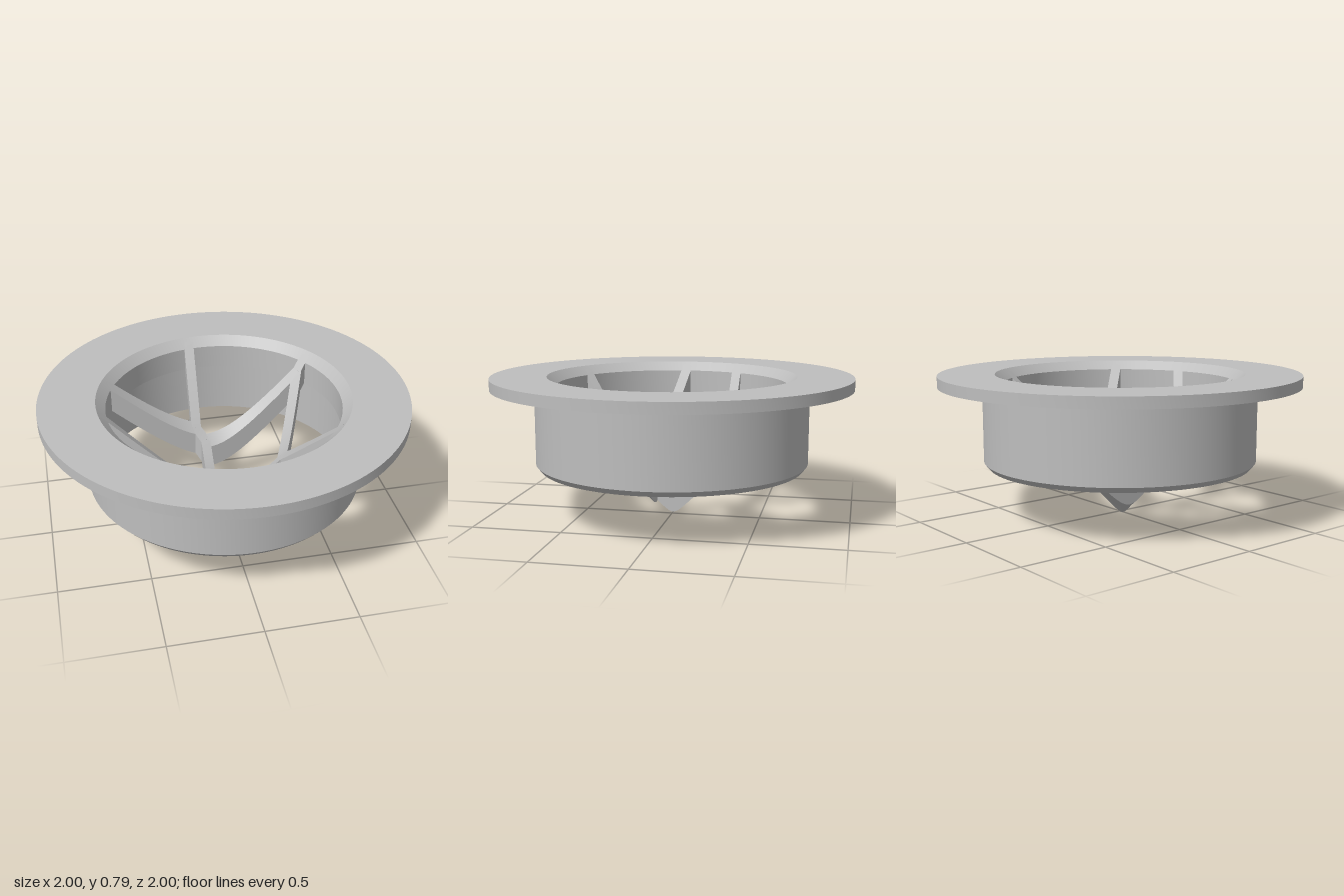
import * as THREE from 'three';
import { toCreasedNormals } from 'three/addons/utils/BufferGeometryUtils.js';

const BAR_WIDTH = 0.056;
const RIM = 0.67; // radius at which bars sink into the collar

// The web lies between two parallel 45 degree cones
const topY = (x, z) => Math.hypot(x, z) + 0.1;
const bottomY = (x, z) => Math.hypot(x, z) - 0.035;

// Upright bar from a to b whose top and underside follow the cones
function barGeometry([ax, az], [bx, bz]) {
  const len = Math.hypot(bx - ax, bz - az);
  const sx = (bz - az) / len * BAR_WIDTH / 2;
  const sz = -(bx - ax) / len * BAR_WIDTH / 2;
  const steps = 20, pos = [], index = [];
  for (let i = 0; i <= steps; i++) {
    const x = ax + (bx - ax) * i / steps, z = az + (bz - az) * i / steps;
    const x0 = x - sx, z0 = z - sz, x1 = x + sx, z1 = z + sz;
    pos.push(x0, bottomY(x0, z0), z0, x1, bottomY(x1, z1), z1);
    pos.push(x1, topY(x1, z1), z1, x0, topY(x0, z0), z0);
  }
  for (let i = 0; i < steps; i++) {
    for (let j = 0; j < 4; j++) {
      const a = i * 4 + j, b = i * 4 + (j + 1) % 4;
      index.push(a, b, b + 4, a, b + 4, a + 4);
    }
  }
  const e = steps * 4;
  index.push(0, 2, 1, 0, 3, 2, e, e + 1, e + 2, e, e + 2, e + 3);
  const geo = new THREE.BufferGeometry();
  geo.setAttribute('position', new THREE.Float32BufferAttribute(pos, 3));
  geo.setIndex(index);
  return toCreasedNormals(geo, 0.5);
}

// Small post that fills the joint where bars meet
function jointGeometry([x, z]) {
  const geo = new THREE.CylinderGeometry(BAR_WIDTH / 2, BAR_WIDTH / 2, 1, 16);
  geo.translate(x, 0, z);
  const p = geo.attributes.position;
  for (let i = 0; i < p.count; i++) {
    const height = p.getY(i) > 0 ? topY : bottomY;
    p.setY(i, height(p.getX(i), p.getZ(i)));
  }
  return toCreasedNormals(geo, 0.5);
}

export function createModel() {
  const model = new THREE.Group();
  model.name = 'funnelStrainer';
  const grey = new THREE.MeshStandardMaterial({ color: 0xbebebe });
  grey.name = 'plain grey';

  const add = (parent, name, geometry) => {
    const mesh = new THREE.Mesh(geometry, grey);
    mesh.name = name;
    parent.add(mesh);
  };

  // Flange, collar with chamfered foot, and conical seat as one turned body
  const profile = [
    [0.70, 0.28], [0.735, 0.28], [0.76, 0.31], [0.76, 0.73], [1, 0.73], [1, 0.79],
    [0.69, 0.79], [0.64, 0.74], [0.64, 0.605], [0.70, 0.665], [0.70, 0.28],
  ].map(([r, y]) => new THREE.Vector2(r, y));
  add(model, 'flangedCollar', toCreasedNormals(new THREE.LatheGeometry(profile, 128), 0.4));

  // Irregular web hanging inside the collar
  const web = new THREE.Group();
  web.name = 'conicalWeb';
  model.add(web);

  const joints = {
    back: [-0.105, -0.285], backInner: [-0.06, -0.235],
    frontInner: [-0.058, 0.118], front: [-0.095, 0.155],
    fork: [-0.11, 0.34], leftBack: [0.5, -0.325], leftFront: [0.3, 0.13],
  };
  const innerBars = [
    ['back', 'backInner'], ['backInner', 'frontInner'], ['frontInner', 'front'],
    ['front', 'fork'], ['backInner', 'leftBack'], ['leftBack', 'leftFront'],
    ['leftFront', 'frontInner'],
  ];
  for (const [a, b] of innerBars) add(web, 'innerBar', barGeometry(joints[a], joints[b]));

  // Bars running out to the collar, each aimed at a point near the rim
  const outerBars = [
    ['back', -0.075, -0.645], ['back', -0.6, -0.275], ['leftBack', 0.56, -0.37],
    ['leftFront', 0.51, 0.39], ['front', -0.64, 0.035],
    ['fork', -0.315, 0.56], ['fork', 0.205, 0.61],
  ];
  for (const [a, x, z] of outerBars) {
    const k = RIM / Math.hypot(x, z);
    add(web, 'outerBar', barGeometry(joints[a], [x * k, z * k]));
  }
  for (const joint of Object.values(joints)) add(web, 'joint', jointGeometry(joint));

  return model;
}
